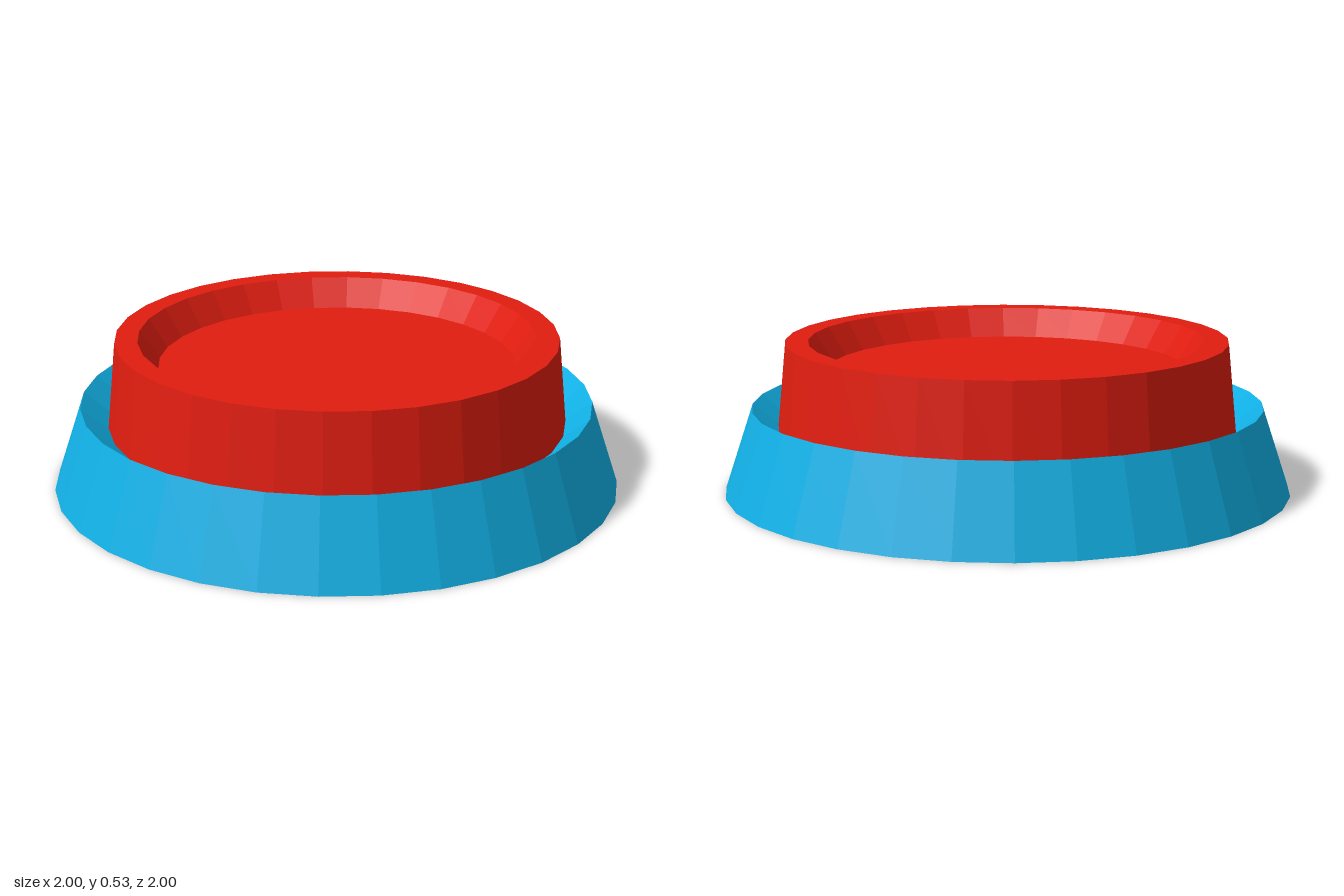
import * as THREE from 'three';

const SIDES = 32;

// Faceted solid of revolution; profile runs from the bottom outward and up
function turned(name, color, profile) {
  const points = profile.map(([r, y]) => new THREE.Vector2(r, y));
  const material = new THREE.MeshStandardMaterial({ color, flatShading: true });
  const mesh = new THREE.Mesh(new THREE.LatheGeometry(points, SIDES), material);
  mesh.name = name;
  return mesh;
}

export function createModel() {
  const group = new THREE.Group();
  group.name = 'pushButton';

  // Sloped housing with a shallow dished recess
  group.add(turned('base', 0x11afe4, [
    [0, 0], [1, 0], [0.9, 0.3], [0.79, 0.21], [0, 0.21],
  ]));

  // Tapered cap with a raised rim and sunken face, slightly off centre
  const cap = turned('buttonCap', 0xe01d10, [
    [0, 0.15], [0.815, 0.15], [0.777, 0.53], [0.697, 0.53], [0.628, 0.43], [0, 0.43],
  ]);
  cap.position.set(0.007, 0, -0.002);
  group.add(cap);

  return group;
}
